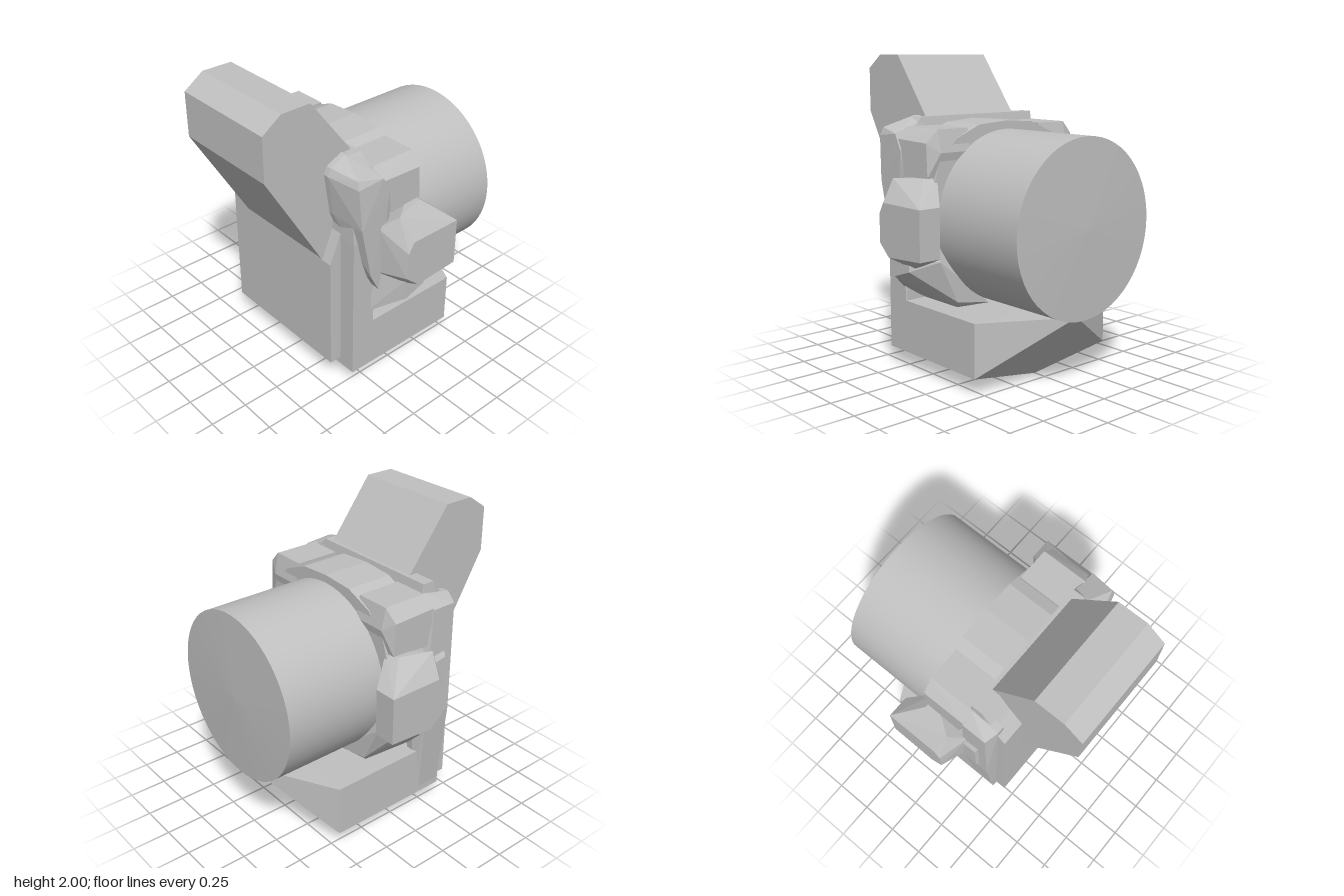
import * as THREE from 'three';
import { ConvexGeometry } from 'three/addons/geometries/ConvexGeometry.js';

const grey = new THREE.MeshStandardMaterial({ color: 0xc0c0c0 });
grey.name = 'plain grey';

export function createModel() {
  const model = new THREE.Group();
  model.name = 'mountedBarrel';

  const add = (name, geometry) => {
    const mesh = new THREE.Mesh(geometry, grey);
    mesh.name = name;
    model.add(mesh);
    return mesh;
  };
  // faceted solid wrapped around a few corner points
  const hull = (name, points) =>
    add(name, new ConvexGeometry(points.map((p) => new THREE.Vector3(...p))));
  // corner points repeated on both sides of z = 0
  const both = (points) => points.flatMap(([x, y, z]) => [[x, y, z], [x, y, -z]]);
  // x-y outline given a depth from z0 to z1
  const slab = (outline, z0, z1) => outline.flatMap(([x, y]) => [[x, y, z0], [x, y, z1]]);

  // barrel along x, with a slightly domed end
  const barrel = add('barrel', new THREE.CylinderGeometry(0.55, 0.55, 1.03, 56, 1, true));
  barrel.rotation.z = -Math.PI / 2;
  barrel.position.set(0.315, 0.988, 0);
  const cap = add('barrelCap', new THREE.ConeGeometry(0.55, 0.018, 56, 1, true));
  cap.rotation.z = -Math.PI / 2;
  cap.position.set(0.839, 0.988, 0);

  // base with pointed prow and keel
  hull('base', both([
    [-0.37, 0.45, 0.56], [-0.37, 0.11, 0.56], [0.48, 0.45, 0.56], [0.48, 0.11, 0.56],
    [0.77, 0.445, 0], [0.02, 0, 0.23], [0.41, 0, 0],
  ]));

  // upright column and rear plate
  hull('column', [
    ...both([
      [-0.37, 0.11, 0.56], [-0.2, 0.11, 0.56], [-0.37, 1.1, 0.56], [-0.2, 1.1, 0.56],
      [-0.36, 1.5, 0.52], [-0.18, 1.5, 0.52], [-0.28, 1.615, 0.42], [-0.2, 1.615, 0.42],
    ]),
    [-0.28, 1.615, -0.52], [-0.2, 1.615, -0.52],
  ]);
  hull('rearPlate', slab([[-0.45, 0.16], [-0.36, 0.16], [-0.36, 1.5], [-0.45, 1.4]], -0.53, 0.36));
  hull('rearPlateEdge', slab([[-0.45, 0.16], [-0.36, 0.16], [-0.36, 1.15], [-0.45, 0.93]], 0.3, 0.44));

  // long fin on the -z side with a small block on it
  hull('sideFin', [
    ...slab([[-0.37, 0.15], [-0.18, 0.12], [-0.13, 0.75], [-0.12, 1.25], [-0.2, 1.56], [-0.4, 1.52]], -0.48, -0.53),
    [-0.36, 0.15, -0.56], [-0.2, 0.15, -0.56], [-0.37, 0.72, -0.615], [-0.17, 0.72, -0.615],
    [-0.37, 1.48, -0.615], [-0.2, 1.48, -0.615],
  ]);
  hull('finBlock', [
    ...slab([[-0.31, 0.78], [-0.17, 0.8], [-0.17, 1.16], [-0.31, 1.18]], -0.58, -0.61),
    ...slab([[-0.3, 0.83], [-0.2, 0.85], [-0.2, 1.12], [-0.3, 1.14]], -0.61, -0.635),
  ]);

  // tapering horn on the +z side
  hull('sideHorn', [
    ...slab([[-0.43, 1.52], [-0.41, 1.57], [-0.3, 1.62], [-0.2, 1.6], [-0.39, 1.25]], 0.36, 0.4),
    [-0.37, 1.55, 0.59], [-0.38, 1.5, 0.61], [-0.2, 1.52, 0.62], [-0.15, 1.42, 0.62],
    [-0.13, 1.28, 0.61], [-0.36, 1.22, 0.62], [-0.28, 0.86, 0.615], [-0.21, 0.73, 0.61],
    [-0.24, 0.78, 0.5], [-0.15, 1.2, 0.5],
  ]);

  // tilted arm
  hull('tiltedArm', slab([
    [-0.85, 1.62], [-0.85, 1.91], [-0.72, 2], [-0.52, 2], [-0.2, 1.58],
    [-0.16, 1.3], [-0.37, 0.92], [-0.46, 0.95],
  ], -0.37, 0.365));

  // arched collar in segments around the barrel
  const arch = [[0, 1.59], [0.22, 1.575], [0.4, 1.5], [0.53, 1.37], [0.6, 1.15], [0.6, 0.85]];
  for (const s of [-1, 1]) {
    for (let i = 0; i < arch.length - 1; i++) {
      const corners = [];
      for (const [z, y] of [arch[i], arch[i + 1]]) {
        const iz = z * 0.8, iy = 0.988 + (y - 0.988) * 0.8;
        for (const x of [-0.2, 0.13]) corners.push([x, y, s * z], [x, iy, s * iz]);
      }
      hull('collarSegment', corners);
    }
    // shoulder block above each pod
    hull('collarShoulder', [
      ...slab([[-0.21, 1.56], [0.11, 1.56], [0.14, 1.42], [-0.18, 1.3]], s * 0.3, s * 0.53),
      ...slab([[-0.21, 1.49], [0.1, 1.48], [0.11, 1.27], [-0.16, 1.25]], s * 0.53, s * 0.61),
    ]);
    // side pod with a flat outer face
    hull('sidePod', [
      ...slab([[-0.14, 1.05], [-0.1, 1.12], [0.265, 1.12], [0.265, 0.81], [-0.05, 0.79], [-0.14, 0.87]], s * 0.788, s * 0.785),
      [0.265, 1.12, s * 0.64], [0.265, 0.81, s * 0.64], [-0.13, 1.26, s * 0.69], [0.09, 1.27, s * 0.63],
      [-0.22, 1.18, s * 0.6], [-0.2, 0.85, s * 0.6], [0.06, 0.72, s * 0.68], [-0.1, 0.76, s * 0.65],
      [0.1, 1.27, s * 0.53], [0.1, 0.76, s * 0.53],
    ]);
    // cheek below each pod, leaning in under the barrel
    const w = s > 0 ? 0.725 : 0.63;
    hull('lowerCheek', [
      ...slab([[-0.1, 0.8], [0.06, 0.8], [0.07, 0.71], [-0.08, 0.66]], s * 0.5, s * w),
      [-0.2, 0.85, s * 0.58], [0.1, 0.9, s * 0.56], [0.19, 0.77, s * 0.58], [-0.24, 0.53, s * 0.54],
      [-0.17, 0.455, s * 0.42], [0.15, 0.455, s * 0.42], [0.19, 0.5, s * 0.45],
      [-0.2, 0.455, s * 0.2], [0.19, 0.455, s * 0.2],
    ]);
  }

  // block at the back, closing off the barrel
  hull('rearCore', both([
    [-0.36, 0.45, 0.45], [-0.1, 0.45, 0.3], [-0.1, 0.8, 0.5], [-0.36, 1.3, 0.5],
    [-0.1, 1.3, 0.45], [-0.3, 1.58, 0.3], [-0.1, 1.5, 0.2],
  ]));

  return model;
}
